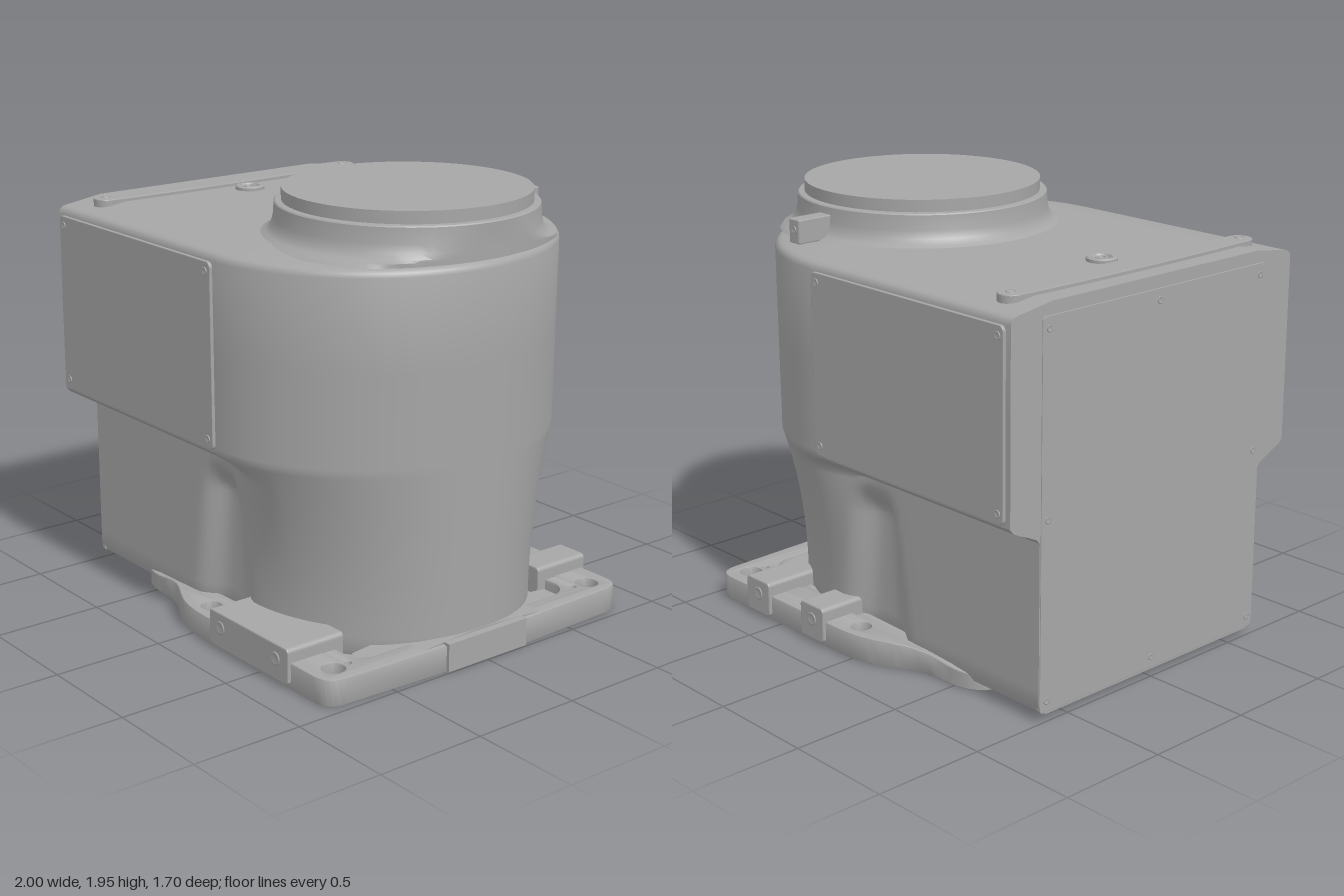
import * as THREE from 'three';
import { toCreasedNormals } from 'three/addons/utils/BufferGeometryUtils.js';

const grey = new THREE.MeshStandardMaterial({ color: 0xa6a6a6 });
grey.name = 'castGrey';

const { smoothstep, lerp, clamp } = THREE.MathUtils;

// Half width of the housing: overhanging box at the rear, flared column at the front
function halfWidth(x, y) {
  const box = lerp(0.66, 0.82, smoothstep(y, 0.78, 0.88));
  const column = 0.67 + 0.15 * clamp((y - 0.15) / 0.73, 0, 1) ** 2;
  const spread = lerp(0.18, 0.09, clamp(y / 0.75, 0, 1));
  const pocket = 0.075 * Math.exp(-(((x - 0.02) / spread) ** 4)) * (1 - smoothstep(y, 0.6, 0.76));
  return lerp(box, column, smoothstep(x, 0, 0.5)) - pocket;
}

// Housing lofted from D-shaped rings
function housingGeometry() {
  const levels = [[0.03, 0.04], [0.045, 0.015], [0.08, 0]];
  for (let y = 0.14; y < 0.6; y += 0.06) levels.push([y, 0]);
  for (let y = 0.6; y < 0.9; y += 0.02) levels.push([y, 0]);
  levels.push([0.9, 0], [1.3, 0], [1.695, 0], [1.712, 0.006], [1.722, 0.016], [1.728, 0.035], [1.755, 0.22]);
  const straight = 44, arc = 36, n = straight + arc, ring = 2 * n + 1;
  const pos = [], index = [];
  for (const [y, inset] of levels) {
    const front = 0.96 + 0.03 * Math.min(1, y / 1.7) - inset;
    const half = [];
    for (let i = 0; i <= n; i++) {
      const a = Math.max(0, (i - straight) / arc) * Math.PI / 2;
      const x = i <= straight ? lerp(-0.994, 0.2, i / straight) : 0.2 + (front - 0.2) * Math.sin(a);
      half.push([x, i === n ? 0 : (halfWidth(x, y) - inset) * Math.cos(a)]);
    }
    for (let i = 0; i < ring; i++) {
      const [x, z] = half[i <= n ? i : 2 * n - i];
      pos.push(x, y, i <= n ? z : -z);
    }
  }
  const quad = (a, b, c, d) => index.push(a, b, c, a, c, d);
  for (let k = 0; k < levels.length - 1; k++) {
    for (let i = 0; i < ring; i++) {
      const j = (i + 1) % ring, o = k * ring, p = o + ring;
      quad(o + i, o + j, p + j, p + i);
    }
  }
  const top = (levels.length - 1) * ring;
  for (let i = 0; i < n; i++) {
    const j = 2 * n - i;
    index.push(i, j, i + 1, top + i, top + i + 1, top + j);
    if (i < n - 1) index.push(i + 1, j, j - 1, top + i + 1, top + j - 1, top + j);
  }
  const g = new THREE.BufferGeometry();
  g.setAttribute('position', new THREE.Float32BufferAttribute(pos, 3));
  g.setIndex(index);
  return toCreasedNormals(g, 0.6);
}

function roundedRect(target, x0, y0, x1, y1, r) {
  target.moveTo(x0 + r, y0);
  target.lineTo(x1 - r, y0);
  target.absarc(x1 - r, y0 + r, r, -Math.PI / 2, 0);
  target.absarc(x1 - r, y1 - r, r, 0, Math.PI / 2);
  target.absarc(x0 + r, y1 - r, r, Math.PI / 2, Math.PI);
  target.absarc(x0 + r, y0 + r, r, Math.PI, Math.PI * 1.5);
  return target;
}

const circle = (x, y, r) => new THREE.Path().absarc(x, y, r, 0, Math.PI * 2, true);
const extrude = (shape, depth, bevel = 0) => new THREE.ExtrudeGeometry(shape, {
  depth: depth - 2 * bevel, bevelEnabled: bevel > 0, bevelSize: bevel, bevelThickness: bevel,
  bevelOffset: -bevel, bevelSegments: 2, curveSegments: 16,
}).translate(0, 0, bevel);
// Lays an extrusion flat: shape y becomes z, top face at the given height
const flat = (g, top) => g.rotateX(Math.PI / 2).translate(0, top, 0);

// Mounting flange with bolt holes and an open underside
function flangeGeometry() {
  const s = new THREE.Shape();
  s.moveTo(0.985, -0.22);
  s.lineTo(0.985, 0.22);
  s.lineTo(0.965, 0.73);
  s.quadraticCurveTo(0.965, 0.83, 0.87, 0.83);
  s.lineTo(0.1, 0.83);
  s.bezierCurveTo(-0.2, 0.83, -0.2, 0.68, -0.45, 0.68);
  s.quadraticCurveTo(-0.66, 0.68, -0.66, 0.5);
  s.lineTo(-0.66, -0.5);
  s.quadraticCurveTo(-0.66, -0.68, -0.45, -0.68);
  s.bezierCurveTo(-0.2, -0.68, -0.2, -0.83, 0.1, -0.83);
  s.lineTo(0.87, -0.83);
  s.quadraticCurveTo(0.965, -0.83, 0.965, -0.73);
  s.closePath();
  s.holes.push(roundedRect(new THREE.Path(), -0.6, -0.6, 0.87, 0.6, 0.1));
  for (const side of [1, -1]) {
    s.holes.push(circle(0.86, 0.72 * side, 0.05), circle(0.03, 0.74 * side, 0.045));
    s.holes.push(circle(0.855, 0.64 * side, 0.014));
  }
  const g = flat(extrude(s, 0.12, 0.008), 0.12);
  // Thin the flange towards the rear
  const p = g.attributes.position;
  for (let i = 0; i < p.count; i++) {
    p.setY(i, p.getY(i) * (1 - 0.35 * smoothstep(-p.getX(i), 0.1, 0.6)));
  }
  return toCreasedNormals(g, 0.5);
}

export function createModel() {
  const model = new THREE.Group();
  model.name = 'machineHousing';
  const add = (name, geometry, x = 0, y = 0, z = 0) => {
    const m = new THREE.Mesh(geometry, grey);
    m.name = name;
    m.position.set(x, y, z);
    model.add(m);
    return m;
  };
  // Small screw with a dished head, facing along the given axis
  const up = new THREE.Vector3(0, 1, 0);
  const screwHead = new THREE.LatheGeometry(
    [[0.017, -0.008], [0.017, 0.003], [0.013, 0.003], [0.009, 0.0005], [0, 0.0005]].map(p => new THREE.Vector2(...p)), 16);
  const screw = (x, y, z, axis, size = 1) => {
    const m = add('screw', screwHead, x, y, z);
    m.quaternion.setFromUnitVectors(up, new THREE.Vector3(...axis));
    m.scale.set(size, 1, size);
  };

  add('housing', housingGeometry());
  add('mountingFlange', flangeGeometry());
  add('bottomPan', new THREE.BoxGeometry(1.52, 0.02, 1.26), 0.14, 0.045, 0);

  // Round neck flaring into the roof, kept flush with the front wall
  const neckProfile = [[0.64, 1.735], [0.62, 1.752], [0.59, 1.762], [0.57, 1.785], [0.56, 1.82],
    [0.555, 1.885], [0.55, 1.89], [0.525, 1.892]].map(p => new THREE.Vector2(...p));
  const neck = new THREE.LatheGeometry(neckProfile, 72).translate(0.445, 0, 0);
  const np = neck.attributes.position;
  for (let i = 0; i < np.count; i++) {
    const y = np.getY(i), z = np.getZ(i);
    // Stay inside the rounded nose of the housing
    const limit = 0.2 + 0.795 * Math.sqrt(1 - (z / 0.83) ** 2);
    if (y < 1.88) np.setX(i, Math.min(np.getX(i), limit));
  }
  add('neck', toCreasedNormals(neck, 0.6));
  add('lid', new THREE.CylinderGeometry(0.525, 0.525, 0.06, 72), 0.445, 1.915, 0);
  add('neckLug', flat(extrude(roundedRect(new THREE.Shape(), 0.408, -0.725, 0.482, -0.53, 0.012), 0.105, 0.005), 1.855));
  screw(0.445, 1.81, -0.725, [0, 0, -1]);

  // Tapered bar and plug on the roof
  const bar = new THREE.Shape();
  bar.moveTo(-0.78, -0.67);
  bar.quadraticCurveTo(-0.75, 0, -0.78, 0.67);
  bar.absarc(-0.835, 0.67, 0.055, 0, Math.PI);
  bar.quadraticCurveTo(-0.92, 0, -0.89, -0.67);
  bar.absarc(-0.835, -0.67, 0.055, Math.PI, Math.PI * 2);
  add('roofBar', flat(extrude(bar, 0.04, 0.004), 1.772));
  for (const z of [-0.67, 0.67]) screw(-0.835, 1.772, z, [0, 1, 0], 1.2);
  const plug = [[0.066, 1.74], [0.066, 1.768], [0.06, 1.773], [0.045, 1.773], [0.037, 1.76], [0.028, 1.76],
    [0.026, 1.77], [0.018, 1.77], [0.014, 1.758], [0, 1.758]].map(p => new THREE.Vector2(...p));
  add('roofPlug', toCreasedNormals(new THREE.LatheGeometry(plug, 32), 0.5), -0.67, 0, 0);

  // Access panels on both sides
  for (const side of [1, -1]) {
    const panel = extrude(roundedRect(new THREE.Shape(), -0.967, 0.89, 0.2, 1.692, 0.025), 0.03, 0.003);
    add('sidePanel', panel, 0, 0, side > 0 ? 0.804 : -0.834);
    for (const x of [-0.935, 0.165]) {
      for (const y of [0.935, 1.65]) screw(x, y, 0.834 * side, [0, 0, side]);
    }
  }

  // Tall rear cover
  const cover = extrude(roundedRect(new THREE.Shape(), -0.655, 0.04, 0.655, 1.7, 0.015), 0.02, 0.002);
  add('rearCover', cover.rotateY(-Math.PI / 2), -0.978, 0, 0);
  for (const y of [0.09, 0.87, 1.65]) {
    for (const z of [-0.62, 0, 0.62]) {
      if (y !== 0.87 || z !== 0) screw(-0.998, y, z, [-1, 0, 0], 0.9);
    }
  }

  // Raised mounting blocks: one wide, two narrow
  for (const [x0, x1, side] of [[0.165, 0.72, 1], [0.165, 0.325, -1], [0.555, 0.72, -1]]) {
    const block = extrude(roundedRect(new THREE.Shape(), x0, 0.02, x1, 0.182, 0.02), 0.29, 0.006);
    add('mountingBlock', block, 0, 0, side > 0 ? 0.555 : -0.845);
  }
  for (const side of [1, -1]) {
    for (const x of [0.245, 0.635]) screw(x, 0.115, 0.845 * side, [0, 0, side], 1.8);
  }

  // Low ridge on the front edge of the flange
  const ridge = new THREE.Shape([[-0.55, 0.1], [0.55, 0.1], [0.22, 0.13], [0, 0.14], [-0.22, 0.13]]
    .map(p => new THREE.Vector2(...p)));
  add('flangeRidge', extrude(ridge, 0.2).rotateY(Math.PI / 2), 0.765, 0, 0);
  add('flangeNose', new THREE.BoxGeometry(0.06, 0.125, 0.44), 0.97, 0.0675, 0);
  return model;
}
